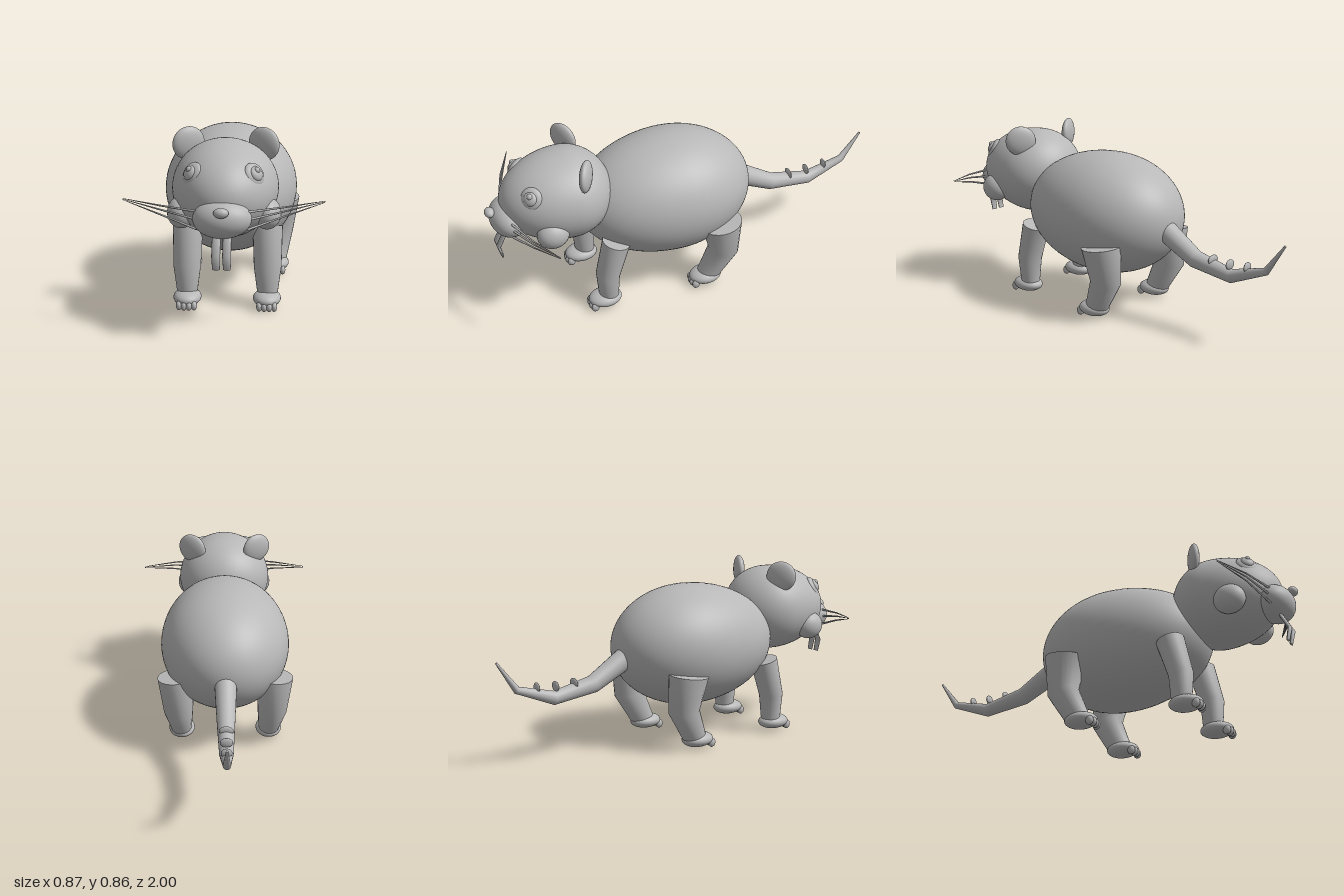
import * as THREE from 'three';

const grey = new THREE.MeshStandardMaterial({ color: 0xb8b8b8 });
grey.name = 'plain grey';

function add(group, name, geometry) {
  const mesh = new THREE.Mesh(geometry, grey);
  mesh.name = name;
  group.add(mesh);
  return mesh;
}

// Ellipsoid with centre and radii
function ball(group, name, [x, y, z], [rx, ry, rz], detail = 24) {
  const mesh = add(group, name, new THREE.SphereGeometry(1, detail, Math.round(detail * 0.7)).scale(rx, ry, rz));
  mesh.position.set(x, y, z);
  return mesh;
}

// Egg whose front half and back half have different lengths
function egg(group, name, centre, [rx, ry], back, front) {
  const geo = new THREE.SphereGeometry(1, 64, 48).rotateX(Math.PI / 2);
  const pos = geo.attributes.position;
  const nor = geo.attributes.normal;
  const n = new THREE.Vector3();
  for (let i = 0; i < pos.count; i++) {
    const x = pos.getX(i), y = pos.getY(i), z = pos.getZ(i);
    const rz = z > 0 ? front : back;
    pos.setXYZ(i, x * rx, y * ry, z * rz);
    n.set(x / rx, y / ry, z / rz).normalize();
    nor.setXYZ(i, n.x, n.y, n.z);
  }
  add(group, name, geo).position.set(...centre);
}

// Capped sweep through rings [x, y, z, side radius, other radius]
function limb(group, name, rings, sides = 24) {
  const pts = rings.map((r) => new THREE.Vector3(r[0], r[1], r[2]));
  const verts = [], index = [], loops = [];
  rings.forEach((r, j) => {
    const tangent = pts[Math.min(j + 1, pts.length - 1)].clone().sub(pts[Math.max(j - 1, 0)]).normalize();
    const side = Math.abs(tangent.x) > 0.7 ? new THREE.Vector3(0, 1, 0) : new THREE.Vector3(1, 0, 0);
    side.addScaledVector(tangent, -side.dot(tangent)).normalize();
    const up = tangent.clone().cross(side);
    const loop = [];
    for (let i = 0; i < sides; i++) {
      const a = (i / sides) * Math.PI * 2;
      const p = pts[j].clone().addScaledVector(side, Math.cos(a) * r[3]).addScaledVector(up, Math.sin(a) * (r[4] ?? r[3]));
      loop.push(p.x, p.y, p.z);
    }
    loops.push(loop);
    verts.push(...loop);
  });
  for (let j = 0; j < rings.length - 1; j++) {
    for (let i = 0; i < sides; i++) {
      const k = (i + 1) % sides;
      const a = j * sides + i, b = j * sides + k;
      index.push(a, b, a + sides, b, b + sides, a + sides);
    }
  }
  // End caps have their own vertices so the rims stay sharp
  [0, rings.length - 1].forEach((j, end) => {
    const base = verts.length / 3;
    verts.push(...loops[j], pts[j].x, pts[j].y, pts[j].z);
    for (let i = 0; i < sides; i++) {
      const k = (i + 1) % sides;
      index.push(base + sides, base + (end ? i : k), base + (end ? k : i));
    }
  });
  const geo = new THREE.BufferGeometry();
  geo.setAttribute('position', new THREE.Float32BufferAttribute(verts, 3));
  geo.setIndex(index);
  geo.computeVertexNormals();
  return add(group, name, geo);
}

function addFoot(group, name, x, z) {
  ball(group, name, [x, 0.045, z], [0.065, 0.037, 0.083], 32);
  for (let t = 0; t < 4; t++) {
    const d = (t - 1.5) * 0.023;
    ball(group, 'toe', [x + d, 0.024, z + 0.072 - Math.abs(d) * 0.25], [0.014, 0.023, 0.02], 16);
  }
}

function addEye(group, s) {
  const eye = new THREE.Group();
  eye.name = 'eye';
  eye.position.set(s * 0.132, 0.712, 0.802);
  eye.lookAt(s * 0.132 + s * 0.66, 0.712 + 0.48, 0.802 + 0.58);
  ball(eye, 'eyeball', [0, 0, 0], [0.053, 0.053, 0.022]);
  ball(eye, 'iris', [0, 0, 0.014], [0.033, 0.033, 0.018]);
  ball(eye, 'pupil', [0, 0.012, 0.026], [0.014, 0.014, 0.012], 16);
  group.add(eye);
}

export function createModel() {
  const model = new THREE.Group();
  model.name = 'rodent';

  // Trunk and head
  egg(model, 'body', [0, 0.475, 0.075], [0.32, 0.302], 0.407, 0.48);
  egg(model, 'head', [0, 0.608, 0.605], [0.236, 0.217], 0.22, 0.32);
  ball(model, 'muzzle', [0, 0.542, 0.89], [0.126, 0.085, 0.09], 40);
  ball(model, 'nose', [0, 0.59, 0.976], [0.032, 0.022, 0.024]);

  for (const s of [1, -1]) {
    // Face
    ball(model, 'cheek', [s * 0.187, 0.522, 0.73], [0.062, 0.07, 0.077], 32);
    const ear = ball(model, 'ear', [s * 0.168, 0.79, 0.55], [0.078, 0.075, 0.028], 32);
    ear.rotation.y = -s * 0.53;
    addEye(model, s);
    limb(model, 'tooth', [
      [s * 0.023, 0.48, 0.912, 0.018, 0.008],
      [s * 0.023, 0.395, 0.957, 0.019, 0.009],
      [s * 0.023, 0.333, 0.943, 0.016, 0.006],
    ], 16);
    [0.575, 0.54, 0.498].forEach((y, i) => limb(model, 'whisker', [
      [s * 0.108, y, 0.9, 0.0055],
      [s * 0.27, (y + 0.588) / 2 + 0.003, 0.848, 0.004],
      [s * 0.436, 0.591 - i * 0.003, 0.77, 0.001],
    ], 8));

    // Front leg
    limb(model, 'frontLeg', [
      [s * 0.185, 0.375, 0.425, 0.07, 0.068],
      [s * 0.187, 0.19, 0.476, 0.064, 0.058],
      [s * 0.187, 0.05, 0.475, 0.046, 0.048],
    ]);
    addFoot(model, 'frontFoot', s * 0.185, 0.495);

    // Back leg
    limb(model, 'backLeg', [
      [s * 0.245, 0.377, -0.1, 0.09, 0.103],
      [s * 0.233, 0.2, -0.118, 0.073, 0.077],
      [s * 0.22, 0.05, -0.04, 0.05, 0.058],
    ]);
    addFoot(model, 'backFoot', s * 0.22, -0.027);
  }

  // Tail and the small discs along its top
  limb(model, 'tail', [
    [0, 0.445, -0.3, 0.054],
    [0, 0.343, -0.485, 0.043],
    [0, 0.307, -0.7, 0.033],
    [0, 0.372, -0.895, 0.018],
    [0, 0.51, -0.995, 0.005],
  ]);
  [[0.362, -0.59, 0.034], [0.361, -0.69, 0.03], [0.369, -0.79, 0.026]].forEach(([y, z, r]) =>
    ball(model, 'tailDisc', [0, y, z], [r, 0.024, 0.009], 16));

  return model;
}
